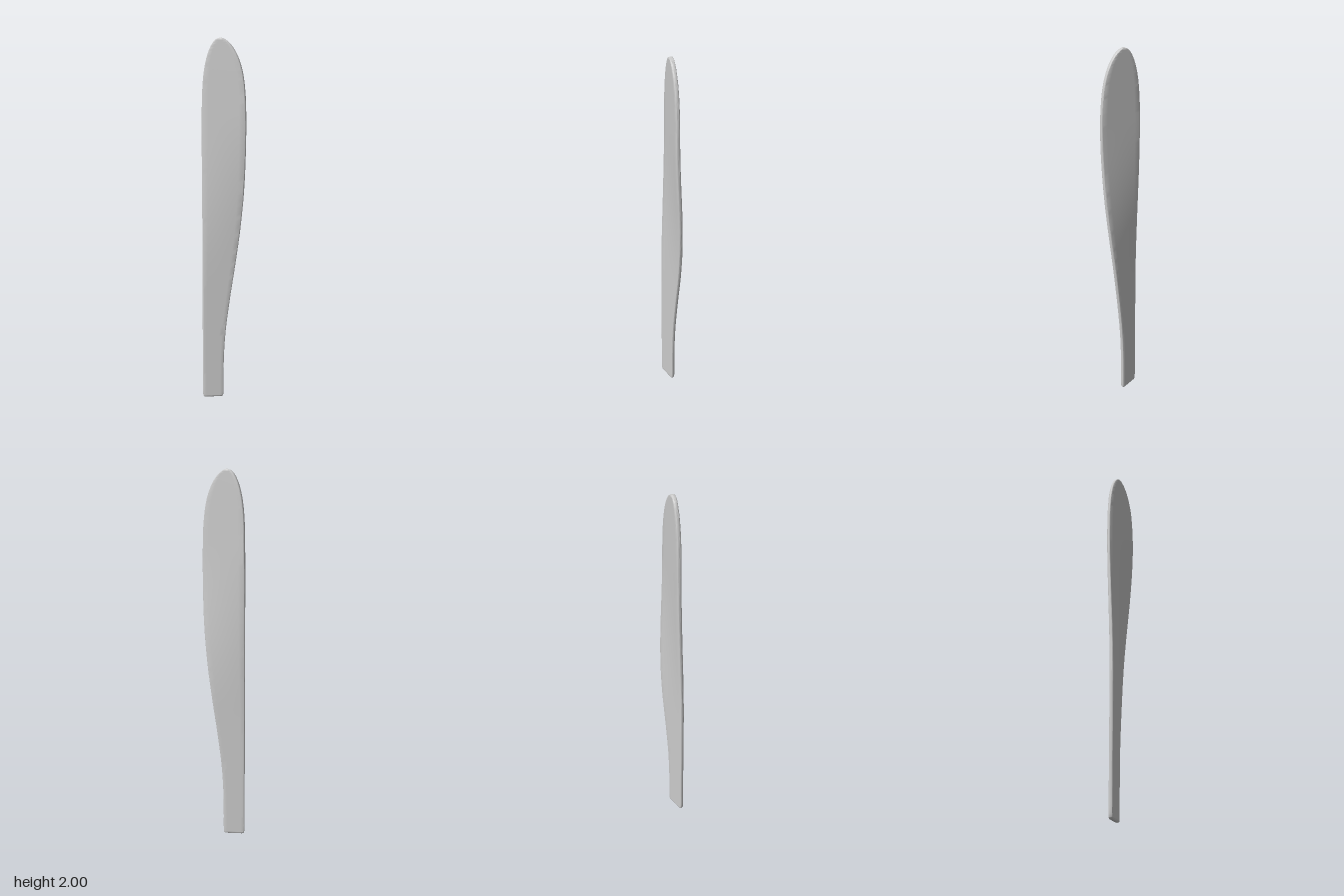
import * as THREE from 'three';
import { toCreasedNormals } from 'three/addons/utils/BufferGeometryUtils.js';

const THICK = 0.0105; // half thickness
const ROUND = 0.007; // edge rounding
const ROWS = 140;

// Outline as (left edge, height, right edge), from foot to tip
const outline = new THREE.CatmullRomCurve3([
  [-0.107, 0, -0.01], [-0.113, 0.004, -0.003], [-0.117, 0.018, 0], [-0.117, 0.12, 0.001],
  [-0.116, 0.25, 0.003], [-0.116, 0.4, 0.012], [-0.115, 0.6, 0.036], [-0.114, 0.8, 0.065],
  [-0.113, 1.0, 0.09], [-0.112, 1.2, 0.106], [-0.111, 1.4, 0.112], [-0.109, 1.6, 0.112],
  [-0.106, 1.73, 0.107], [-0.096, 1.84, 0.092], [-0.078, 1.92, 0.065], [-0.056, 1.97, 0.033],
  [-0.038, 1.991, 0.008], [-0.02, 2, -0.01],
].map((p) => new THREE.Vector3(...p)));

// Rounded-rectangle section: w, h are half sizes; runs from the right edge round by the front
function section(w, h) {
  const r = Math.min(ROUND, w * 0.8, h * 0.95);
  const pts = [];
  const arc = (sx, sz, from) => {
    for (let i = 0; i <= 5; i++) {
      const a = from + (i / 5) * Math.PI / 2;
      pts.push([sx * (w - r) + r * Math.cos(a), sz * (h - r) + r * Math.sin(a)]);
    }
  };
  const face = (sx, z) => {
    for (let i = 1; i < 8; i++) pts.push([sx * (w - r) * (1 - i / 4), z]);
  };
  arc(1, 1, 0);
  face(1, h);
  arc(-1, 1, Math.PI / 2);
  arc(-1, -1, Math.PI);
  face(-1, -h);
  arc(1, -1, Math.PI * 1.5);
  return pts;
}

// Thickness eases down at the foot and the tip
function halfThickness(y) {
  const k = Math.min(1, Math.min(y, 2 - y) / 0.008);
  return THICK * (0.5 + 0.5 * Math.sqrt(Math.max(0, 1 - (1 - k) ** 2)));
}

function bladeGeometry() {
  const pos = [], index = [];
  let n = 0;
  const ends = [];
  for (let j = 0; j <= ROWS; j++) {
    const p = outline.getPoint(j / ROWS);
    const y = THREE.MathUtils.clamp(p.y, 0, 2);
    // The blade twists from almost flat at the foot to pitched at the tip
    const s = THREE.MathUtils.smoothstep(y, 0.7, 1.65);
    const slope = 0.02 + 0.325 * s;
    const a = Math.atan(slope), c = Math.cos(a), sn = Math.sin(a);
    const mid = (p.x + p.z) / 2, midZ = -0.011 * (1 - s) + mid * slope;
    const ring = section((p.z - p.x) / 2 / c, halfThickness(y));
    n = ring.length;
    for (const [u, v] of ring) pos.push(mid + u * c - v * sn, y, midZ + u * sn + v * c);
    if (j === 0 || j === ROWS) ends.push([mid, y, midZ]);
  }
  for (let j = 0; j < ROWS; j++) {
    for (let i = 0; i < n; i++) {
      const b = j * n + i, d = j * n + (i + 1) % n;
      index.push(b, b + n, d, d, b + n, d + n);
    }
  }
  // Close both ends
  const foot = pos.length / 3, top = ROWS * n;
  pos.push(...ends[0], ...ends[1]);
  for (let i = 0; i < n; i++) {
    const k = (i + 1) % n;
    index.push(foot, i, k, foot + 1, top + k, top + i);
  }
  const g = new THREE.BufferGeometry();
  g.setAttribute('position', new THREE.Float32BufferAttribute(pos, 3));
  g.setIndex(index);
  return toCreasedNormals(g, 0.6);
}

export function createModel() {
  const model = new THREE.Group();
  model.name = 'twistedBlade';
  const blade = new THREE.Mesh(bladeGeometry(), new THREE.MeshStandardMaterial({ color: 0xcccccc }));
  blade.name = 'blade';
  model.add(blade);
  return model;
}
